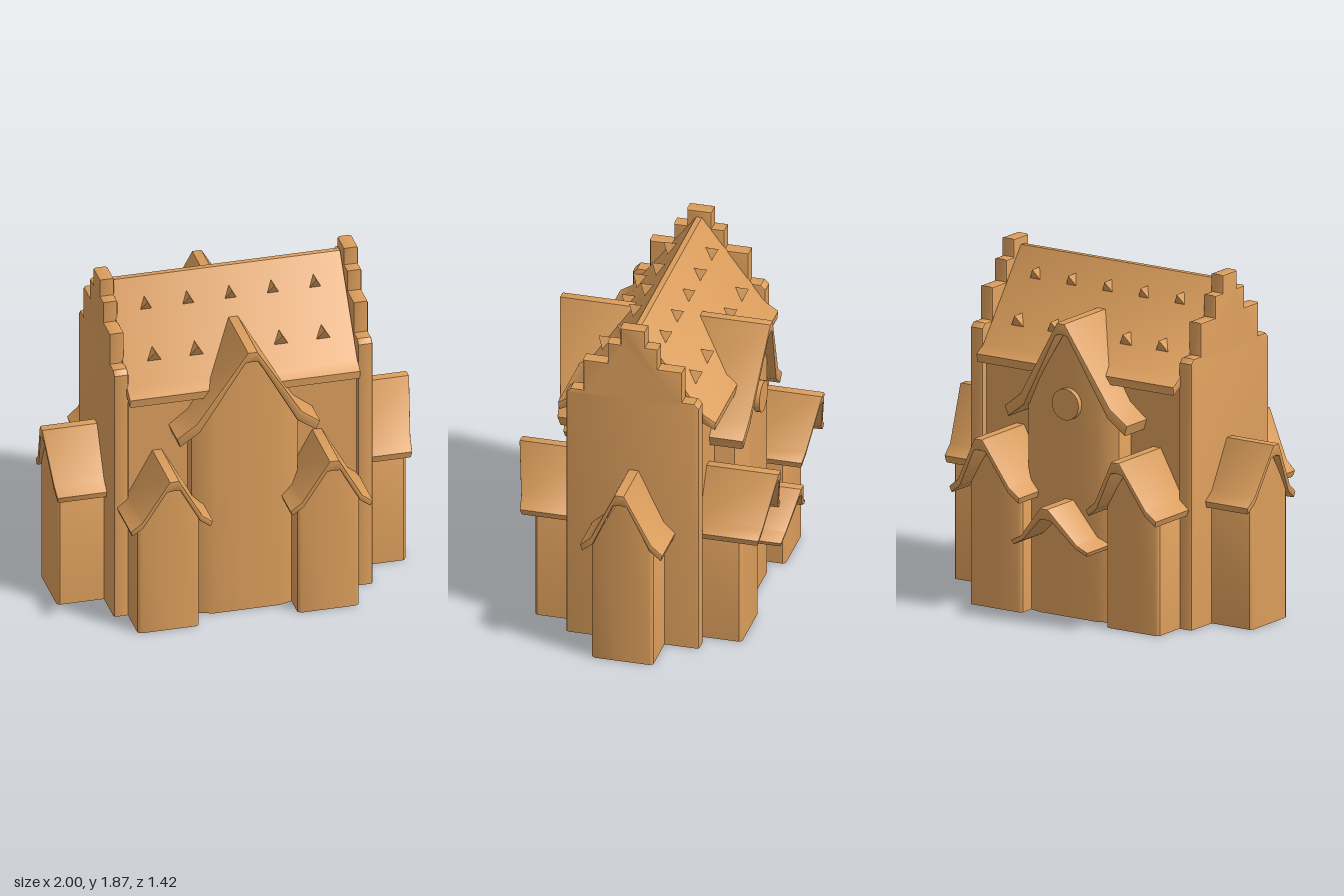
import * as THREE from 'three';
import { toCreasedNormals } from 'three/addons/utils/BufferGeometryUtils.js';

const material = new THREE.MeshStandardMaterial({ color: 0xdb9d5b, side: THREE.DoubleSide });
const CZ = 0.02; // ridge line of the hall

function shapeFrom(points) {
  return new THREE.Shape(points.map(([x, y]) => new THREE.Vector2(x, y)));
}

// Right half of an outline, mirrored into a closed symmetric shape
function mirrored(half) {
  const left = half.filter(([x]) => x > 0).map(([x, y]) => [-x, y]).reverse();
  return shapeFrom([...half, ...left]);
}

function extrude(shape, depth, bevel) {
  const b = bevel || 0;
  const geo = new THREE.ExtrudeGeometry(shape, {
    depth: depth - 2 * b, bevelEnabled: b > 0, bevelSize: b, bevelOffset: -b, bevelThickness: b, bevelSegments: 2,
  });
  return geo.translate(0, 0, b);
}

// Moves vertices by a rule
function warp(geo, rule) {
  const p = geo.attributes.position;
  const v = new THREE.Vector3();
  for (let i = 0; i < p.count; i++) {
    rule(v.fromBufferAttribute(p, i));
    p.setXYZ(i, v.x, v.y, v.z);
  }
  return geo;
}

// Removes faces lying on the ground, so the shells are open below
function openBottom(geo) {
  const src = geo.index ? geo.toNonIndexed() : geo;
  const a = src.attributes.position.array;
  const kept = [];
  for (let i = 0; i < a.length; i += 9) {
    if (Math.max(a[i + 1], a[i + 4], a[i + 7]) > 1e-4) kept.push(...a.slice(i, i + 9));
  }
  const out = new THREE.BufferGeometry();
  out.setAttribute('position', new THREE.Float32BufferAttribute(kept, 3));
  return out;
}

function addMesh(parent, name, geo) {
  const mesh = new THREE.Mesh(toCreasedNormals(geo, 0.6), material);
  mesh.name = name;
  parent.add(mesh);
  return mesh;
}

// Flared gable roof; its outer edge leans forward towards the ridge
function gableRoof({ w, h, eave, inner, eaveZ, ridgeZ }) {
  const shape = mirrored([
    [0, h - 0.065], [0.035, h - 0.07], [0.68 * w, 0.14 * h], [0.95 * w, 0],
    [w, 0.1 * h], [0.73 * w, 0.245 * h], [0.025, h],
  ]);
  const geo = extrude(shape, eaveZ - inner, 0.008);
  return warp(geo, (v) => {
    if (v.z > (eaveZ - inner) / 2) v.z += (ridgeZ - eaveZ) * (v.y / h);
    v.y += eave;
    v.z += inner;
  });
}

// Walls with cut corners whose top follows the underside of the roof
function gableWalls({ w, h, eave, inner, wallZ, cut }) {
  const ww = 0.74 * w;
  const footprint = mirrored([
    [0, inner], [ww, inner], [ww, wallZ - cut[1]],
    [ww - cut[0] * 0.3, wallZ - cut[1] * 0.5], [ww - cut[0], wallZ], [0, wallZ],
  ]);
  // Extrusion direction becomes up: (x, z, height)
  const geo = warp(extrude(footprint, 1, 0), (v) => {
    const t = THREE.MathUtils.clamp(Math.abs(v.x) / (0.69 * w), 0, 1);
    const top = eave + THREE.MathUtils.lerp(h - 0.03, 0.17 * h, t);
    v.set(-v.x, v.z > 0.5 ? top : 0, v.y);
  });
  // Swapping two axes and mirroring x keeps the winding outward
  return openBottom(geo);
}

function addBay(parent, name, x, z, turn, options) {
  const bay = new THREE.Group();
  bay.name = name;
  bay.position.set(x, 0, z);
  bay.rotation.y = turn;
  if (options.wallZ) addMesh(bay, name + 'Walls', gableWalls(options));
  addMesh(bay, name + 'Roof', gableRoof(options));
  parent.add(bay);
}

// Small pointed roof vent: triangular front with a ridge running into the roof
function ventGeometry(half, height, depth) {
  const tip = [0, height, 0.04], back = [0, height, 0.04 - depth];
  const left = [-half, 0, 0], right = [half, 0, 0];
  const root = [0, -0.01, -0.01];
  const faces = [left, right, tip, right, back, tip, left, tip, back, left, root, right, root, back, right, root, left, back];
  const geo = new THREE.BufferGeometry();
  geo.setAttribute('position', new THREE.Float32BufferAttribute(faces.flat(), 3));
  return geo;
}

export function createModel() {
  const group = new THREE.Group();
  group.name = 'steppedGableHall';

  // Hall walls
  const hall = openBottom(new THREE.BoxGeometry(1.28, 1.36, 0.66).translate(0, 0.68, 0));
  addMesh(group, 'hallWalls', hall).position.z = CZ;

  // Main roof with kicked eaves
  const roof = mirrored([
    [0, 1.76], [0.34, 1.32], [0.425, 1.28], [0.43, 1.325], [0.365, 1.365], [0.015, 1.83], [0, 1.83],
  ]);
  addMesh(group, 'mainRoof', extrude(roof, 1.255, 0.006).rotateY(Math.PI / 2)).position.set(-0.63, 0, CZ);

  // Stepped end gables
  const steps = mirrored([
    [0.3625, -0.05], [0.3625, 1.445], [0.337, 1.47], [0.27, 1.47], [0.27, 1.65], [0.138, 1.65],
    [0.138, 1.77], [0.068, 1.77], [0.068, 1.868],
  ]);
  for (const [name, x] of [['rightGable', -0.7], ['leftGable', 0.628]]) {
    const geo = warp(extrude(steps, 0.082, 0.014), (v) => { v.y = Math.max(0, v.y); });
    addMesh(group, name, openBottom(geo.rotateY(Math.PI / 2))).position.set(x, 0, CZ);
  }

  // Corner bays, front and back
  const corner = { w: 0.225, h: 0.335, eave: 0.62, inner: 0.28, cut: [0.02, 0.015] };
  for (const [side, x] of [['right', -0.457], ['left', 0.413]]) {
    addBay(group, side + 'FrontBay', x, 0, 0, { ...corner, wallZ: 0.59, eaveZ: 0.65, ridgeZ: 0.712 });
    addBay(group, side + 'BackBay', x, 0, Math.PI, { ...corner, wallZ: 0.54, eaveZ: 0.64, ridgeZ: 0.703 });
  }

  // Side bays
  const end = { w: 0.226, eave: 0.64, inner: 0.64, cut: [0.02, 0.015] };
  addBay(group, 'leftSideBay', 0, 0.013, Math.PI / 2, { ...end, h: 0.385, wallZ: 0.945, eaveZ: 0.96, ridgeZ: 1 });
  addBay(group, 'rightSideBay', 0, 0.013, -Math.PI / 2, { ...end, h: 0.34, wallZ: 0.955, eaveZ: 0.965, ridgeZ: 1 });

  // Tall central bays
  const centre = { w: 0.39, h: 0.57, eave: 1.04, cut: [0.11, 0.05] };
  addBay(group, 'frontCentreBay', -0.003, 0, 0, { ...centre, inner: 0.1, wallZ: 0.48, eaveZ: 0.51, ridgeZ: 0.606 });
  addBay(group, 'backCentreBay', -0.003, 0, Math.PI, { ...centre, inner: 0.06, wallZ: 0.47, eaveZ: 0.49, ridgeZ: 0.545 });

  // Back porch canopy
  addBay(group, 'porch', -0.01, 0, Math.PI, {
    w: 0.245, h: 0.24, eave: 0.4, inner: 0.42, eaveZ: 0.655, ridgeZ: 0.712,
  });

  // Round window on the back bay
  const disc = new THREE.CylinderGeometry(0.085, 0.085, 0.05, 24).rotateX(Math.PI / 2);
  addMesh(group, 'roundWindow', disc).position.set(-0.003, 1.16, -0.475);

  // Roof vents in two rows on both slopes
  for (const facing of [1, -1]) {
    for (let i = -2; i <= 2; i++) {
      for (const lower of [true, false]) {
        if (lower && i === 0) continue;
        const geo = lower ? ventGeometry(0.053, 0.085, 0.1) : ventGeometry(0.042, 0.075, 0.09);
        const vent = addMesh(group, 'roofVent', geo);
        vent.position.set(i * 0.23, lower ? 1.445 : 1.67, CZ + facing * (lower ? 0.275 : 0.11));
        vent.rotation.y = facing > 0 ? 0 : Math.PI;
      }
    }
  }
  return group;
}
